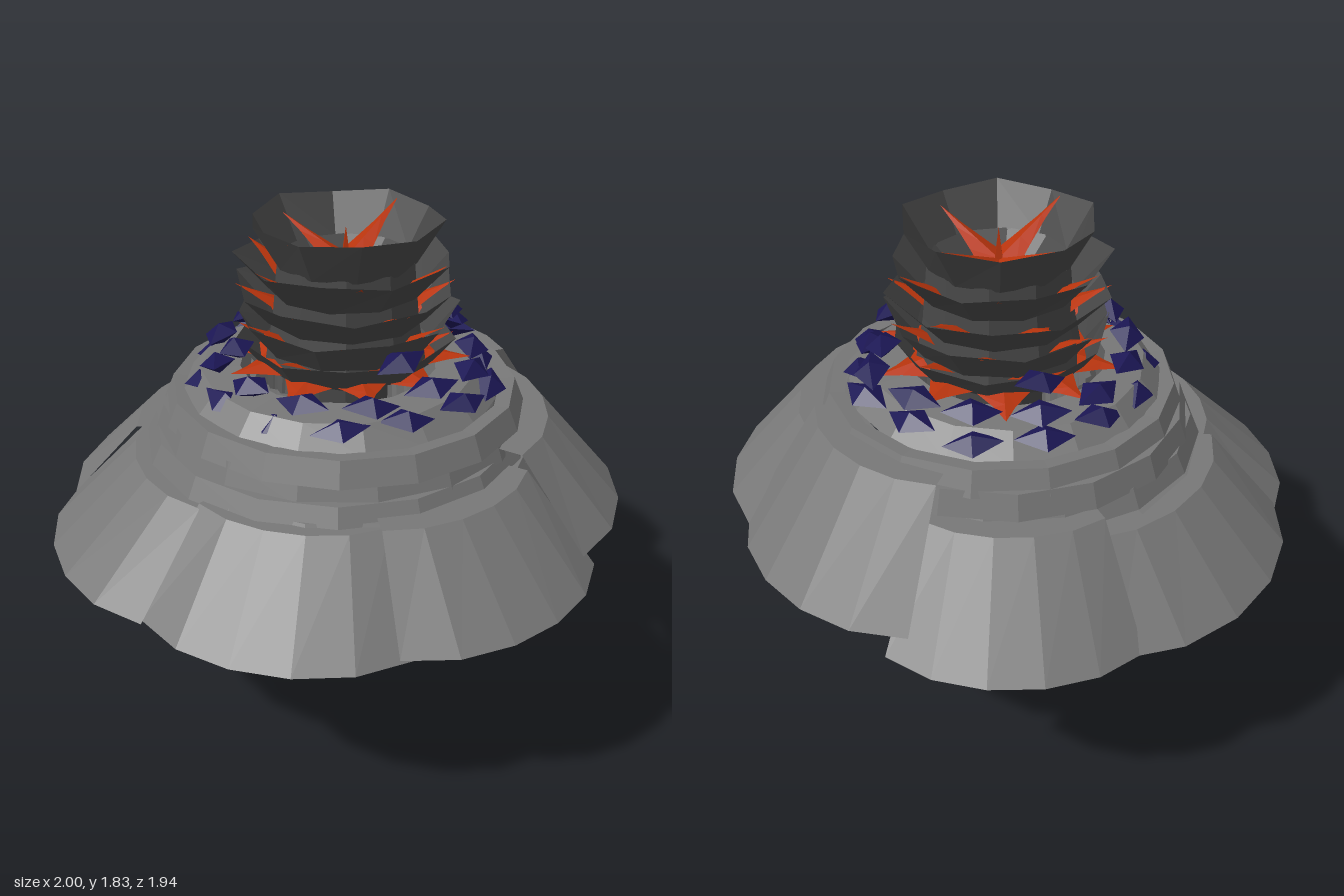
import * as THREE from 'three';

const material = (color) => new THREE.MeshStandardMaterial({ color, flatShading: true, side: THREE.DoubleSide });
const GREY = material(0x777777), DARK = material(0x464646), ORANGE = material(0xb8340d), BLUE = material(0x1b1654);
const DEG = Math.PI / 180;
const CX = 0.015, CZ = -0.03; // shared axis of stem and crown

// Small seeded generator for hand-made irregularity
function makeRandom(seed) {
  return () => {
    seed = (seed * 16807) % 2147483647;
    return seed / 2147483647;
  };
}

// Surface from rule(u, v) -> [x, y, z]
function patch(rule, nu, nv) {
  const pos = [], index = [];
  for (let j = 0; j <= nv; j++)
    for (let i = 0; i <= nu; i++) pos.push(...rule(i / nu, j / nv));
  for (let j = 0; j < nv; j++)
    for (let i = 0; i < nu; i++) {
      const a = j * (nu + 1) + i, b = a + nu + 1;
      index.push(a, a + 1, b + 1, a, b + 1, b);
    }
  const g = new THREE.BufferGeometry();
  g.setAttribute('position', new THREE.Float32BufferAttribute(pos, 3));
  g.setIndex(index);
  g.computeVertexNormals();
  return g;
}

const polar = (r, y, a) => [r * Math.sin(a), y, r * Math.cos(a)];

function add(parent, name, geometry, mat, x = 0, y = 0, z = 0) {
  const mesh = new THREE.Mesh(geometry, mat);
  mesh.name = name;
  mesh.position.set(x, y, z);
  parent.add(mesh);
  return mesh;
}

function group(parent, name, x = 0, z = 0) {
  const g = new THREE.Group();
  g.name = name;
  g.position.set(x, 0, z);
  parent.add(g);
  return g;
}

const lathe = (points, sides) => new THREE.LatheGeometry(points.map((p) => new THREE.Vector2(...p)), sides);

// Pointed leaf with a raised spine, running outwards along +z from r0 to r1
function leaf(r0, y0, r1, y1, width, ridge) {
  const rule = (u, v) => {
    const s = u * 2 - 1;
    const w = width * Math.pow(1 - v, 1.3);
    return [s * w, y0 + (y1 - y0) * v + (1 - Math.abs(s)) * ridge * (1 - v), r0 + (r1 - r0) * v];
  };
  return patch(rule, 2, 3);
}

export function createModel() {
  const model = new THREE.Group();
  model.name = 'layeredFlower';
  const rand = makeRandom(41);

  // Tapered stem with a small foot and overlapping strips
  const stem = group(model, 'stem', CX, CZ);
  add(stem, 'stemShaft', lathe([[0, 0.03], [0.08, 0.03], [0.092, 0.06], [0.185, 0.71], [0.17, 0.74]], 10), DARK);
  add(stem, 'stemFoot', new THREE.CylinderGeometry(0.05, 0.04, 0.04, 8), DARK, 0.02, 0.02, 0);
  for (let i = 0; i < 10; i++) {
    const a = i * 36 * DEG, w = 0.25 + 0.2 * rand(), y0 = 0.03 + 0.02 * rand();
    add(stem, 'stemStrip', patch((u, v) =>
      polar(0.084 + 0.118 * v, y0 + (0.71 - y0) * v, a + (u - 0.5) * 2 * w * (0.75 + 0.25 * v)), 2, 1), DARK);
  }

  // Orange collar rings and the core above them
  for (let k = 0; k < 3; k++) {
    const ring = add(stem, 'collarRing', lathe(
      [[0.17, -0.014], [0.197, -0.006], [0.185, 0.016], [0.16, 0.012]], 12), ORANGE, 0, 0.713 + 0.021 * k, 0);
    ring.rotation.set(0.03 * (k - 1), k, 0.03 * (1 - k));
  }
  add(stem, 'core', lathe([[0.18, 0.75], [0.15, 0.85], [0.15, 1.35]], 10), DARK);

  // Finely pleated sleeve hanging inside the bell
  const sleeve = (u, v) => {
    const pleat = Math.round(u * 80) % 2 ? 0.006 : -0.006;
    return polar(0.355 - 0.04 * v + pleat, 0.77 + 0.55 * v, u * Math.PI * 2);
  };
  add(model, 'pleatedSleeve', patch(sleeve, 80, 1), GREY, CX, 0, CZ);

  // Bell: stacked skirts as profiles from the hem up to a nearly flat step
  const skirts = [
    [[0.535, 1.25], [0.46, 1.33], [0.33, 1.335]],
    [[0.615, 1.19], [0.58, 1.27], [0.53, 1.265]],
    [[0.63, 1.13], [0.6, 1.21], [0.56, 1.21]],
    [[0.66, 1.07], [0.625, 1.14], [0.58, 1.14]],
    [[0.73, 0.95], [0.65, 1.09], [0.6, 1.09]],
    [[0.8, 0.79], [0.67, 1.07], [0.6, 1.09]],
    [[0.74, 0.81], [0.56, 1.2]],
    [[0.68, 0.84], [0.52, 1.25]],
  ];
  const bell = group(model, 'bell', 0.005, -0.015);
  skirts.forEach((profile, k) => {
    const skirt = add(bell, 'skirt', lathe(profile, 16), GREY, 0.012 * Math.sin(k * 2), 0, 0.012 * Math.cos(k * 2));
    skirt.rotation.y = k * 0.21;
  });

  // Outer petals: [start angle, end angle, lower radius, lower y, upper radius, upper y]
  const petals = [
    [-4, 50, 0.99, 0.79, 0.69, 1.08],
    [47, 97, 1.015, 0.82, 0.73, 1.1],
    [94, 154, 0.99, 0.87, 0.72, 1.17],
    [150, 204, 0.98, 0.87, 0.69, 1.25],
    [200, 248, 1.01, 0.8, 0.71, 1.12],
    [243, 305, 1.005, 0.8, 0.73, 1.07],
    [302, 357, 1.005, 0.79, 0.7, 1.07],
  ];
  const outer = group(model, 'outerPetals');
  for (const [a0, a1, r0, y0, r1, y1] of petals) {
    // Sloping face for the first half of v, then a flat lip turned in to the bell
    const rule = (u, v) => {
      const tuck = 0.06 * Math.pow(Math.abs(2 * u - 1), 2.5) * (1 - v);
      const r = v > 0.5 ? 0.6 : r0 + (r1 - r0) * v * 2;
      return polar(r - tuck, y0 + (y1 - y0) * Math.min(1, v * 2), (a0 + (a1 - a0) * u) * DEG);
    };
    add(outer, 'outerPetal', patch(rule, 5, 2), GREY);
  }

  // Blue stretched buds in staggered rows: [count, radius, y, first angle]
  const buds = group(model, 'blueBuds', CX, CZ);
  const budShape = new THREE.OctahedronGeometry(1, 0);
  for (const [count, r, y, start] of [[14, 0.475, 1.31, 8], [13, 0.43, 1.38, 18], [4, 0.39, 1.46, -28]]) {
    for (let i = 0; i < count; i++) {
      const a = start * DEG + (i / count) * Math.PI * 2;
      const bud = add(buds, 'bud', budShape, BLUE, ...polar(r + 0.03 * (rand() - 0.5), y + 0.03 * (rand() - 0.5), a));
      bud.scale.set(0.095, 0.036, 0.06);
      bud.rotation.set(0.2, a + 0.7 * (rand() - 0.5), 0.4 * (rand() - 0.5), 'YXZ');
    }
  }

  // Crown of flared, jagged bowls: [lower radius, lower y, rim radius, rim y]
  const crown = group(model, 'crown', CX, CZ);
  const bowls = [
    [0.29, 1.35, 0.36, 1.44],
    [0.28, 1.41, 0.365, 1.52],
    [0.27, 1.5, 0.36, 1.6],
    [0.25, 1.59, 0.35, 1.705],
    [0.23, 1.68, 0.31, 1.82],
  ];
  bowls.forEach(([r0, y0, r1, y1], k) => {
    const sides = 10;
    const jag = k < 4 ? 0.014 : 0.007;
    const rule = (u, v) => {
      const tip = Math.round(u * sides) % 2 ? jag : -jag;
      return polar(r0 + (r1 - r0) * v + tip * v, y0 + (y1 - y0) * v + tip * v, u * Math.PI * 2 + k * 0.35);
    };
    add(crown, 'bowl', patch(rule, sides, 1), DARK);

    // Orange leaves tucked into the lower bowls
    if (k === 4) return;
    for (let i = 0; i < 6; i++) {
      const inner = add(crown, 'innerLeaf', leaf(0.22, y0 + 0.03, r1, y1 + 0.005, 0.07, 0.015), ORANGE);
      inner.rotation.y = i * 60 * DEG + k * 0.6;
    }
  });
  add(crown, 'crownWall', lathe([[0.28, 1.35], [0.25, 1.5], [0.23, 1.69], [0.15, 1.62]], 10), DARK);

  // Broad orange leaves under the crown
  for (let i = 0; i < 10; i++) {
    const under = add(crown, 'underLeaf', leaf(0.2, 1.36, 0.42, 1.345 + 0.02 * (i % 2), 0.14, 0.03), ORANGE);
    under.rotation.y = (i * 36 + 10) * DEG;
  }

  // Orange heart inside the crown, with a four-pointed star
  add(crown, 'heart', lathe([[0.17, 1.63], [0.12, 1.655], [0, 1.67]], 10), ORANGE);
  for (let i = 0; i < 4; i++) {
    const long = i % 2 === 0;
    const spike = add(crown, 'starSpike', leaf(0, 1.66, long ? 0.3 : 0.26, long ? 1.81 : 1.79, 0.07, 0.025), ORANGE);
    spike.rotation.y = i * 90 * DEG;
  }
  add(crown, 'starTip', new THREE.ConeGeometry(0.02, 0.12, 4), ORANGE, 0, 1.73, 0);

  return model;
}
